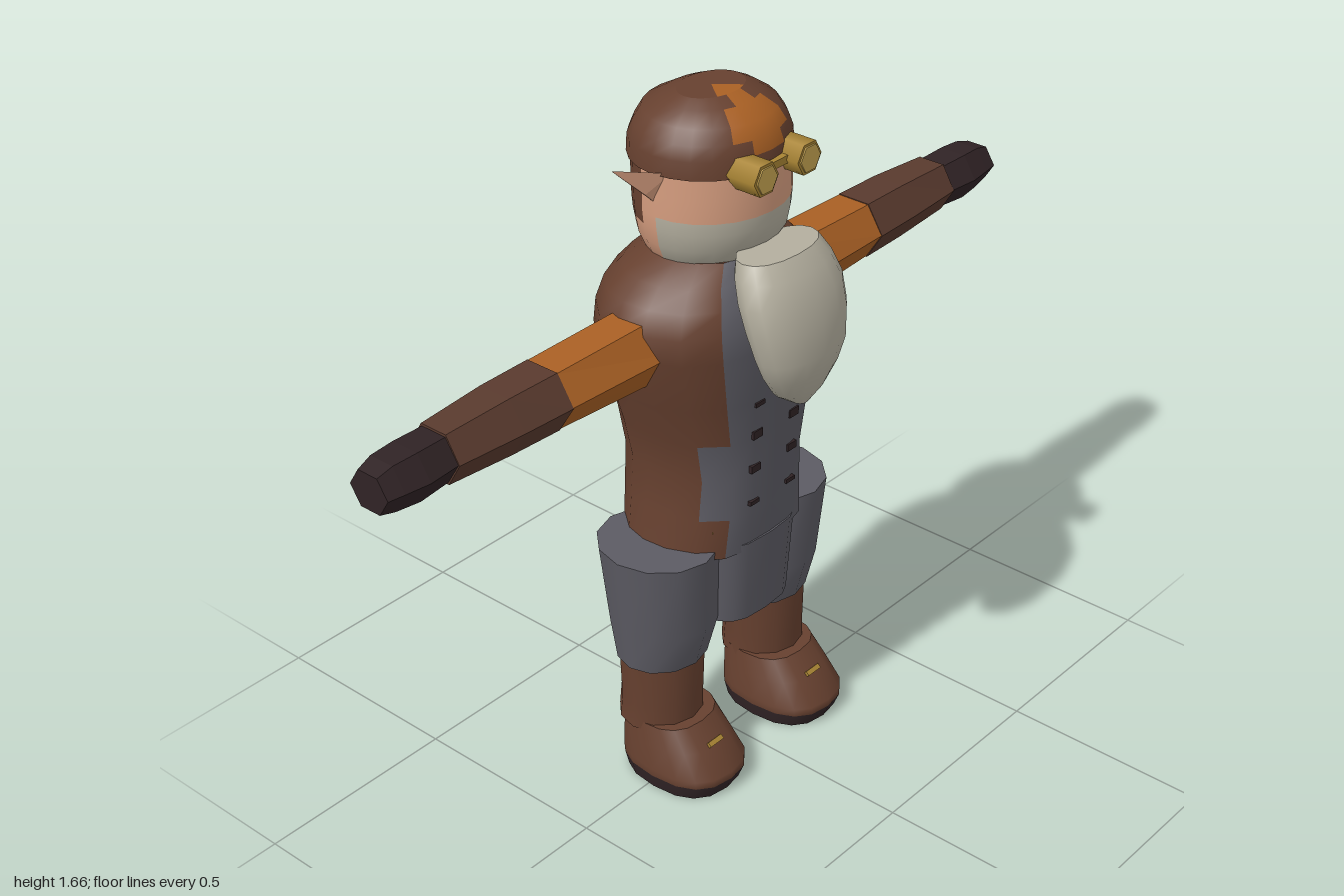
import * as THREE from 'three';
import { ConvexGeometry } from 'three/addons/geometries/ConvexGeometry.js';

const paint = (name, color) => new THREE.MeshStandardMaterial({ name, color });

// One closed ring at height y: rounder with p = 1, squarer with smaller p
function oval(y, cx, w, zf, zb, n = 24, p = 1) {
  const pw = (v) => Math.sign(v) * Math.abs(v) ** p;
  return Array.from({ length: n }, (_, i) => {
    const a = (i / n) * Math.PI * 2;
    return [cx + w * pw(Math.sin(a)), y, (zf + zb) / 2 + ((zf - zb) / 2) * pw(Math.cos(a))];
  });
}

// Closed skin over rings from bottom to top; rule(x, y, z) picks a material per face
function loft(rings, rule = () => 0, flat = false) {
  const n = rings[0].length;
  const pos = rings.flat(2);
  const buckets = [];
  const face = (...ids) => {
    const c = [0, 1, 2].map((k) => ids.reduce((s, i) => s + pos[i * 3 + k], 0) / ids.length);
    const list = (buckets[rule(...c)] ??= []);
    for (let k = 1; k < ids.length - 1; k++) list.push(ids[0], ids[k], ids[k + 1]);
  };
  for (let r = 0; r < rings.length - 1; r++) {
    for (let j = 0; j < n; j++) {
      const k = (j + 1) % n;
      face(r * n + j, r * n + k, (r + 1) * n + k, (r + 1) * n + j);
    }
  }
  for (const [ring, up] of [[rings[0], false], [rings.at(-1), true]]) {
    const base = pos.length / 3;
    pos.push(...ring.flat());
    pos.push(...[0, 1, 2].map((k) => ring.reduce((s, q) => s + q[k], 0) / n));
    for (let j = 0; j < n; j++) {
      const a = base + j, b = base + ((j + 1) % n);
      if (up) face(base + n, a, b); else face(base + n, b, a);
    }
  }
  let g = new THREE.BufferGeometry();
  g.setAttribute('position', new THREE.Float32BufferAttribute(pos, 3));
  g.setIndex(buckets.flat());
  let start = 0;
  buckets.forEach((list, m) => { g.addGroup(start, list.length, m); start += list.length; });
  if (flat) g = g.toNonIndexed();
  g.computeVertexNormals();
  return g;
}

// Curved band wrapped round the front of the waist
function frontBand(half, z, y0, y1, depth) {
  const s = new THREE.Shape();
  s.moveTo(-half, -(z - 0.035));
  s.quadraticCurveTo(0, -(z + 0.035), half, -(z - 0.035));
  s.lineTo(half, -(z - 0.035 - depth));
  s.quadraticCurveTo(0, -(z + 0.035 - depth), -half, -(z - 0.035 - depth));
  const g = new THREE.ExtrudeGeometry(s, { depth: y1 - y0, bevelEnabled: false, curveSegments: 8 });
  return g.rotateX(-Math.PI / 2).translate(0, y0, 0);
}

export function createModel() {
  const model = new THREE.Group();
  const leather = paint('brown leather', 0x66402f);
  const cuffBrown = paint('dark brown sleeve', 0x593a2e);
  const cloth = paint('grey cloth', 0x5c5b63);
  const orange = paint('orange cloth', 0xa96024);
  const hair = paint('grey beard', 0xb3ae9e);
  const skin = paint('skin', 0xd49c7e);
  const dark = paint('dark glove and sole', 0x302325);
  const gold = paint('brass', 0xa88434);
  const lensGold = paint('lens', 0xc7a552);

  const add = (name, geometry, material, x = 0, y = 0, z = 0) => {
    const m = new THREE.Mesh(geometry, material);
    m.name = name;
    m.position.set(x, y, z);
    model.add(m);
    return m;
  };

  // Coat with a vest panel down the front
  const half = [[0, 1], [0.32, 0.98], [0.61, 0.89], [0.85, 0.62], [0.98, 0.25], [1, -0.1],
    [0.93, -0.42], [0.73, -0.73], [0.4, -0.93], [0, -1]];
  const unit = [...half, ...half.slice(1, -1).reverse().map(([x, z]) => [-x, z])];
  const torso = [[0.6, 0.215, 0.122, -0.228], [0.7, 0.2, 0.128, -0.234], [0.8, 0.19, 0.132, -0.237],
    [0.9, 0.212, 0.138, -0.245], [1.0, 0.243, 0.146, -0.254], [1.13, 0.283, 0.158, -0.267],
    [1.19, 0.282, 0.152, -0.257], [1.24, 0.255, 0.135, -0.245], [1.28, 0.215, 0.11, -0.21],
    [1.315, 0.15, 0.08, -0.175]];
  const rings = torso.map(([y, w, f, b]) => unit.map(([u, v]) =>
    [u * w, y, (f + b) / 2 + v * (f - b) / 2]));
  const isVest = (x, y, z) => (z > 0.07 && Math.abs(x) < (y < 1.2 ? 0.15 : 0.17) ? 1 : 0);
  add('coat and vest', loft(rings, isVest), [leather, cloth]);

  // Vest buttons
  for (const [y, z, h] of [[0.73, 0.127, 0.01], [0.82, 0.13, 0.018], [0.91, 0.135, 0.02], [0.99, 0.142, 0.01]]) {
    for (const s of [-1, 1]) add('button', new THREE.BoxGeometry(0.03, h, 0.009), dark, s * 0.062, y, z);
  }

  // Belt and front and back flaps
  add('belt trim', frontBand(0.15, 0.118, 0.605, 0.672, 0.03), gold);
  add('belt', frontBand(0.128, 0.1225, 0.618, 0.656, 0.012), leather);
  add('hip flaps', loft([oval(0.405, 0, 0.13, 0.115, -0.21, 20, 0.6),
    oval(0.62, 0, 0.146, 0.128, -0.232, 20, 0.6)]), cloth);

  // Head with side whiskers and the low back of the cap
  const headRows = [[1.27, 0.12, 0.05, -0.16], [1.31, 0.152, 0.085, -0.185], [1.35, 0.172, 0.11, -0.2],
    [1.39, 0.179, 0.118, -0.207], [1.42, 0.181, 0.12, -0.21], [1.47, 0.18, 0.12, -0.212], [1.53, 0.18, 0.117, -0.213]];
  const headRule = (x, y, z) => {
    if (y > 1.39 && z < -0.085) return 2;
    return y < 1.42 && z > -0.06 ? 1 : 0;
  };
  add('head', loft(headRows.map(([y, w, f, b]) => oval(y, 0, w, f, b)), headRule), [skin, hair, leather]);

  // Cap with an orange flame patch
  const capRows = [[1.52, 0.186, 0.122, -0.222], [1.56, 0.184, 0.118, -0.219], [1.59, 0.172, 0.108, -0.207],
    [1.62, 0.152, 0.09, -0.19], [1.645, 0.115, 0.05, -0.145], [1.66, 0.085, 0.015, -0.11]];
  const flame = (x, y, z) => {
    if (y > 1.659) return Math.abs(x) < 0.03 && z > -0.04 ? 1 : 0;
    const reach = y > 1.6 && y < 1.635 ? 0.065 : 0.032;
    return z > 0 && y > 1.54 && Math.abs(x) < reach ? 1 : 0;
  };
  add('cap', loft(capRows.map(([y, w, f, b]) => oval(y, 0, w, f, b)), flame), [leather, orange]);

  // Goggles
  add('goggle bridge', new THREE.BoxGeometry(0.09, 0.018, 0.02), gold, 0, 1.53, 0.122);
  for (const s of [-1, 1]) {
    add('goggle', new THREE.CylinderGeometry(0.039, 0.039, 0.075, 6).toNonIndexed()
      .rotateY(Math.PI / 6).rotateX(Math.PI / 2), gold, s * 0.07, 1.53, 0.125);
    add('goggle lens', new THREE.CylinderGeometry(0.032, 0.032, 0.006, 6)
      .rotateY(Math.PI / 6).rotateX(Math.PI / 2), lensGold, s * 0.07, 1.53, 0.163);
  }

  // Hanging beard
  const beardRows = [[0.995, 0.02, 0.222, 0.18], [1.03, 0.07, 0.243, 0.157], [1.08, 0.104, 0.261, 0.146],
    [1.13, 0.127, 0.27, 0.138], [1.2, 0.142, 0.264, 0.118], [1.26, 0.145, 0.249, 0.098],
    [1.31, 0.132, 0.225, 0.08], [1.345, 0.115, 0.195, 0.078]];
  add('beard', loft(beardRows.map(([y, w, f, b]) => oval(y, 0, w, f, b, 16, 0.9))), hair);

  // Arm segments: distance along the arm, half height, front z, back z
  const arm = [
    ['upper sleeve', orange, [[0.2, 0.077, 0.036, -0.14], [0.52, 0.066, 0.025, -0.145]]],
    ['forearm', cuffBrown, [[0.515, 0.068, 0.027, -0.145], [0.65, 0.066, 0.022, -0.143], [0.82, 0.058, 0.01, -0.13]]],
    ['glove', dark, [[0.81, 0.052, 0.006, -0.126], [0.9, 0.056, 0.014, -0.124], [0.96, 0.052, 0.006, -0.12],
      [1.0, 0.042, 0, -0.108]]],
  ];

  for (const s of [-1, 1]) {
    for (const [name, mat, rows] of arm) {
      const g = loft(rows.map(([d, h, f, b]) => oval(d, 0, h / 0.866, f, b, 6)), undefined, true);
      add(name, g.rotateZ(-s * Math.PI / 2), mat, 0, 1.135, 0);
    }

    // Pointed ear
    const ear = [[0.165, 1.525, -0.012], [0.165, 1.44, -0.05], [0.165, 1.5, -0.085], [0.2, 1.475, -0.055],
      [0.265, 1.542, -0.088]].map(([x, y, z]) => new THREE.Vector3(s * x, y, z));
    add('ear', new ConvexGeometry(ear), skin);

    // Trouser leg, boot shaft and boot
    add('trouser leg', loft([oval(0.315, s * 0.18, 0.112, 0.055, -0.15, 12), oval(0.42, s * 0.178, 0.125, 0.085, -0.175, 12),
      oval(0.62, s * 0.192, 0.134, 0.1, -0.19, 12)]), cloth);
    add('boot shaft', loft([oval(0.14, s * 0.184, 0.1, 0.05, -0.15, 12), oval(0.2, s * 0.183, 0.097, 0.05, -0.145, 12),
      oval(0.33, s * 0.182, 0.105, 0.052, -0.145, 12)]), leather);
    const boot = [[0, 0.108, 0.15, -0.118], [0.036, 0.115, 0.165, -0.128], [0.055, 0.116, 0.165, -0.129],
      [0.11, 0.106, 0.12, -0.129], [0.16, 0.096, 0.075, -0.126]];
    add('boot', loft(boot.map(([y, w, f, b]) => oval(y, s * 0.18, w, f, b, 16, 0.8)),
      (x, y) => (y < 0.036 ? 1 : 0)), [leather, dark]);
    add('boot buckle', new THREE.BoxGeometry(0.045, 0.012, 0.008), gold, s * 0.18, 0.119, 0.114).rotation.x = -0.8;
  }
  return model;
}
